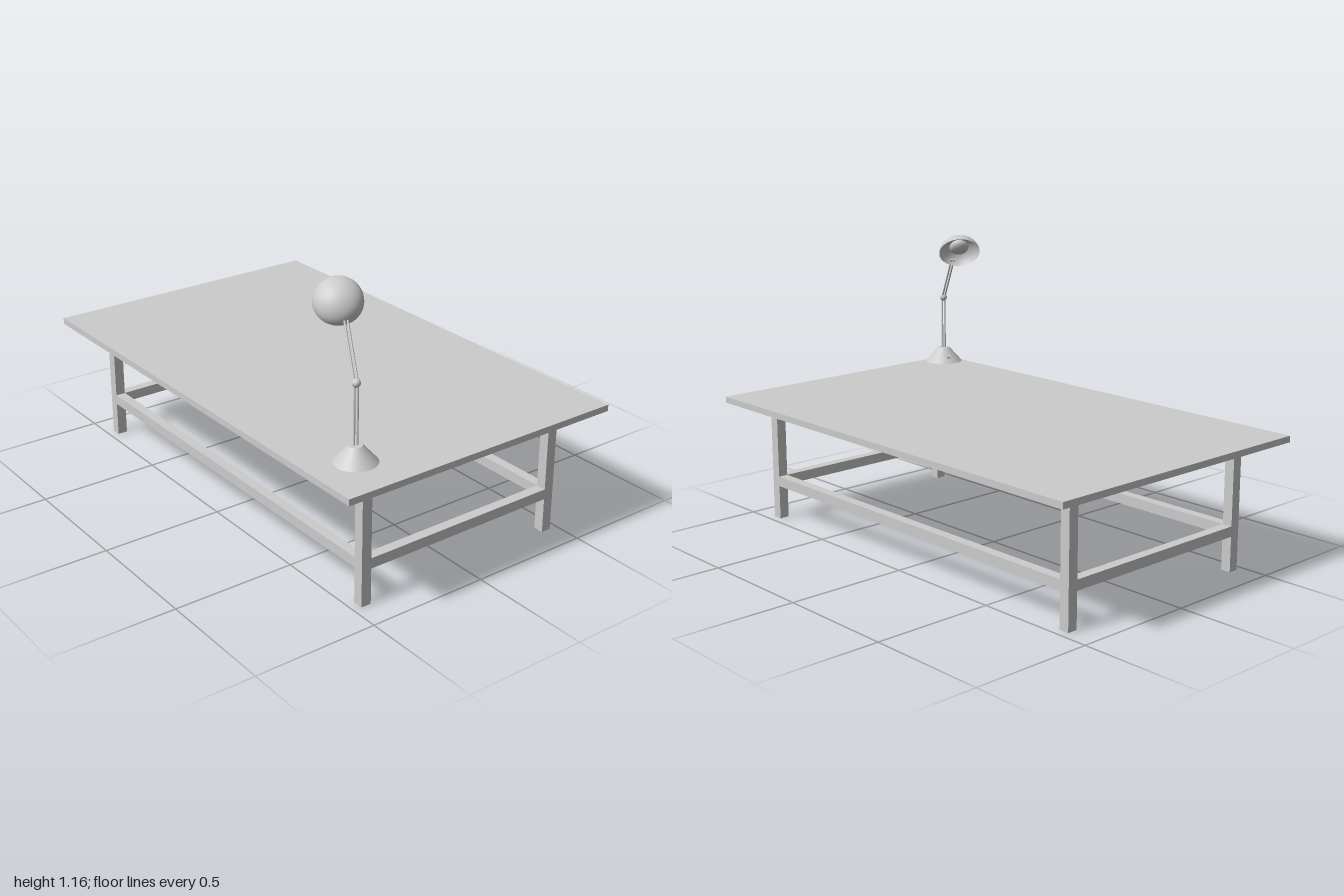
import * as THREE from 'three';

const grey = new THREE.MeshStandardMaterial({ color: 0xcccccc });
const thin = new THREE.MeshStandardMaterial({ color: 0xcccccc, side: THREE.DoubleSide });
const UP = new THREE.Vector3(0, 1, 0);

function add(parent, name, geometry, x = 0, y = 0, z = 0, material = grey) {
  const mesh = new THREE.Mesh(geometry, material);
  mesh.name = name;
  mesh.position.set(x, y, z);
  parent.add(mesh);
  return mesh;
}

// Cylinder running from point a to point b
function rod(parent, name, a, b, radius, sides = 16) {
  const dir = b.clone().sub(a);
  const mid = a.clone().add(b).multiplyScalar(0.5);
  const mesh = add(parent, name, new THREE.CylinderGeometry(radius, radius, dir.length(), sides), mid.x, mid.y, mid.z);
  mesh.quaternion.setFromUnitVectors(UP, dir.normalize());
}

function createTable() {
  const table = new THREE.Group();
  table.name = 'table';
  const legX = 0.445, legZ = 0.865, w = 0.042;
  add(table, 'tableTop', new THREE.BoxGeometry(1.23, 0.026, 2), 0, 0.522, 0);
  for (const s of [-1, 1]) {
    for (const t of [-1, 1]) add(table, 'leg', new THREE.BoxGeometry(w, 0.509, w), s * legX, 0.2545, t * legZ);
    // Stretchers between the legs
    add(table, 'sideRail', new THREE.BoxGeometry(w, 0.042, 2 * legZ - w), s * legX, 0.166, 0);
    add(table, 'endRail', new THREE.BoxGeometry(2 * legX - w, 0.042, w), 0, 0.166, s * legZ);
  }
  return table;
}

function createLamp() {
  const lamp = new THREE.Group();
  lamp.name = 'lamp';

  // Base, stalk and arm share one turn about the stalk
  const stand = new THREE.Group();
  stand.name = 'lampStand';
  stand.position.set(-0.461, 0.561, 0.836);
  stand.rotation.y = -0.33;
  lamp.add(stand);
  add(stand, 'lampBase', new THREE.CylinderGeometry(0.026, 0.082, 0.063, 48), 0, 0.0315, 0);
  rod(stand, 'switchButton', new THREE.Vector3(0, 0.022, -0.053), new THREE.Vector3(0, 0.034, -0.067), 0.009);
  add(stand, 'elbowJoint', new THREE.SphereGeometry(0.016, 24, 16), 0, 0.295, 0);
  for (const x of [-0.006, 0.006]) {
    rod(stand, 'stalkRod', new THREE.Vector3(x, 0.06, 0), new THREE.Vector3(x, 0.295, 0), 0.004);
    rod(stand, 'armRod', new THREE.Vector3(x, 0.295, 0), new THREE.Vector3(x, 0.483, -0.115), 0.004);
  }

  // Tilted head: local y points out of the back of the shade
  const head = new THREE.Group();
  head.name = 'lampHead';
  head.position.set(-0.405, 1.083, 0.66);
  head.quaternion.setFromUnitVectors(UP, new THREE.Vector3(-0.45, 0.655, 0.605).normalize());
  lamp.add(head);
  const dome = new THREE.SphereGeometry(0.0893, 48, 20, 0, Math.PI * 2, 0, Math.PI / 2);
  add(head, 'shade', dome.scale(1, 0.78, 1), 0, 0, 0, thin);
  add(head, 'bulb', new THREE.SphereGeometry(0.042, 32, 16).scale(1, 0.55, 1), 0, 0.032, 0);
  return lamp;
}

export function createModel() {
  const model = new THREE.Group();
  model.name = 'tableWithLamp';
  model.add(createTable(), createLamp());
  return model;
}
